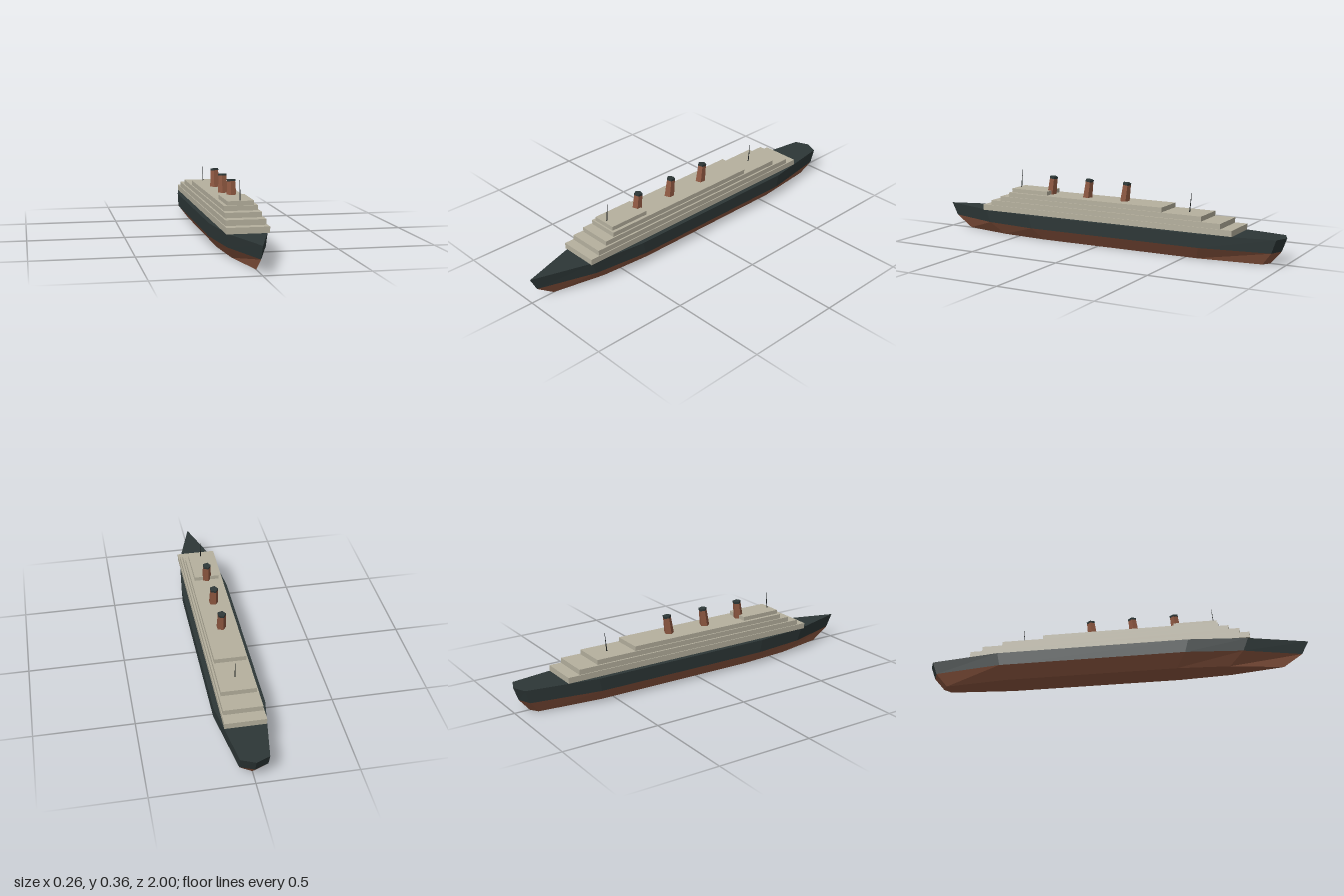
import * as THREE from 'three';

const mat = (name, color) => Object.assign(new THREE.MeshStandardMaterial({ color }), { name });

// Hard-edged faces from any geometry
function faceted(geometry) {
  const g = geometry.index ? geometry.toNonIndexed() : geometry;
  g.computeVertexNormals();
  return g;
}

// Hull plan from bow along the left side to the stern, then mirrored
const side = [[0, 1], [0.093, 0.7], [0.128, 0.4], [0.128, -0.6], [0.07, -0.97], [0, -1]];
const plan = [...side, ...side.slice(1, -1).reverse().map(([x, z]) => [-x, z])];
const ring = (y, sx, sz, dz) => plan.map(([x, z]) => [x * sx, y, z * sz + dz]);

// Band between two rings, closed at the top or the bottom
function hullBand(lower, upper, closeTop) {
  const pos = [];
  const tri = (...corners) => corners.forEach((c) => pos.push(...c));
  const n = lower.length;
  for (let i = 0; i < n; i++) {
    const j = (i + 1) % n;
    tri(lower[i], lower[j], upper[j]);
    tri(lower[i], upper[j], upper[i]);
  }
  for (let i = 1; i < n - 1; i++) {
    if (closeTop) tri(upper[0], upper[i], upper[i + 1]);
    else tri(lower[0], lower[i + 1], lower[i]);
  }
  const g = new THREE.BufferGeometry();
  g.setAttribute('position', new THREE.Float32BufferAttribute(pos, 3));
  return faceted(g);
}

export function createModel() {
  const model = new THREE.Group();
  model.name = 'oceanLiner';
  const dark = mat('hullCharcoal', 0x2d3737);
  const rust = mat('rustRed', 0x8f5841);
  const cream = mat('deckCream', 0xb5b09e);
  const black = mat('mastBlack', 0x1b1f1f);

  const add = (parent, name, geometry, material, x = 0, y = 0, z = 0) => {
    const mesh = new THREE.Mesh(geometry, material);
    mesh.name = name;
    mesh.position.set(x, y, z);
    parent.add(mesh);
    return mesh;
  };

  // Hull
  const bottom = ring(0, 0.6, 0.895, -0.025);
  const waterline = ring(0.065, 0.985, 0.97, -0.005);
  const rim = ring(0.133, 1, 1, 0);
  add(model, 'lowerHull', hullBand(bottom, waterline, false), rust);
  add(model, 'upperHull', hullBand(waterline, rim, true), dark);

  // Stepped decks: half width, bottom, top, front z, back z
  [
    [0.103, 0.133, 0.163, 0.71, -0.755],
    [0.098, 0.163, 0.19, 0.66, -0.692],
    [0.089, 0.19, 0.215, 0.605, -0.587],
    [0.082, 0.215, 0.239, 0.552, -0.368],
    [0.065, 0.239, 0.26, 0.543, 0.32],
  ].forEach(([w, y0, y1, front, back], i) => {
    add(model, `deck${i + 1}`, new THREE.BoxGeometry(w * 2, y1 - y0, front - back),
      cream, 0, (y0 + y1) / 2, (front + back) / 2);
  });

  // Raked five-sided funnels with dark caps
  const pentagon = (top, base, h) =>
    faceted(new THREE.CylinderGeometry(top, base, h, 5, 1, false, -Math.PI / 2));
  [0.33, 0.108, -0.115].forEach((z, i) => {
    const funnel = new THREE.Group();
    funnel.name = `funnel${i + 1}`;
    funnel.position.set(0, 0.235, z);
    funnel.rotation.x = -0.14;
    add(funnel, 'funnelBody', pentagon(0.0215, 0.026, 0.092), rust, 0, 0.046, 0);
    add(funnel, 'funnelCap', pentagon(0.0225, 0.0225, 0.011), dark, 0, 0.0955, 0);
    model.add(funnel);
  });

  // Raked masts
  [['foreMast', 0.258, 0.525], ['aftMast', 0.213, -0.485]].forEach(([name, y, z]) => {
    const mast = new THREE.Group();
    mast.name = name;
    mast.position.set(0, y, z);
    mast.rotation.x = -0.1;
    add(mast, 'mastPole', faceted(new THREE.CylinderGeometry(0.001, 0.003, 0.1, 5)), black, 0, 0.05, 0);
    model.add(mast);
  });

  return model;
}
